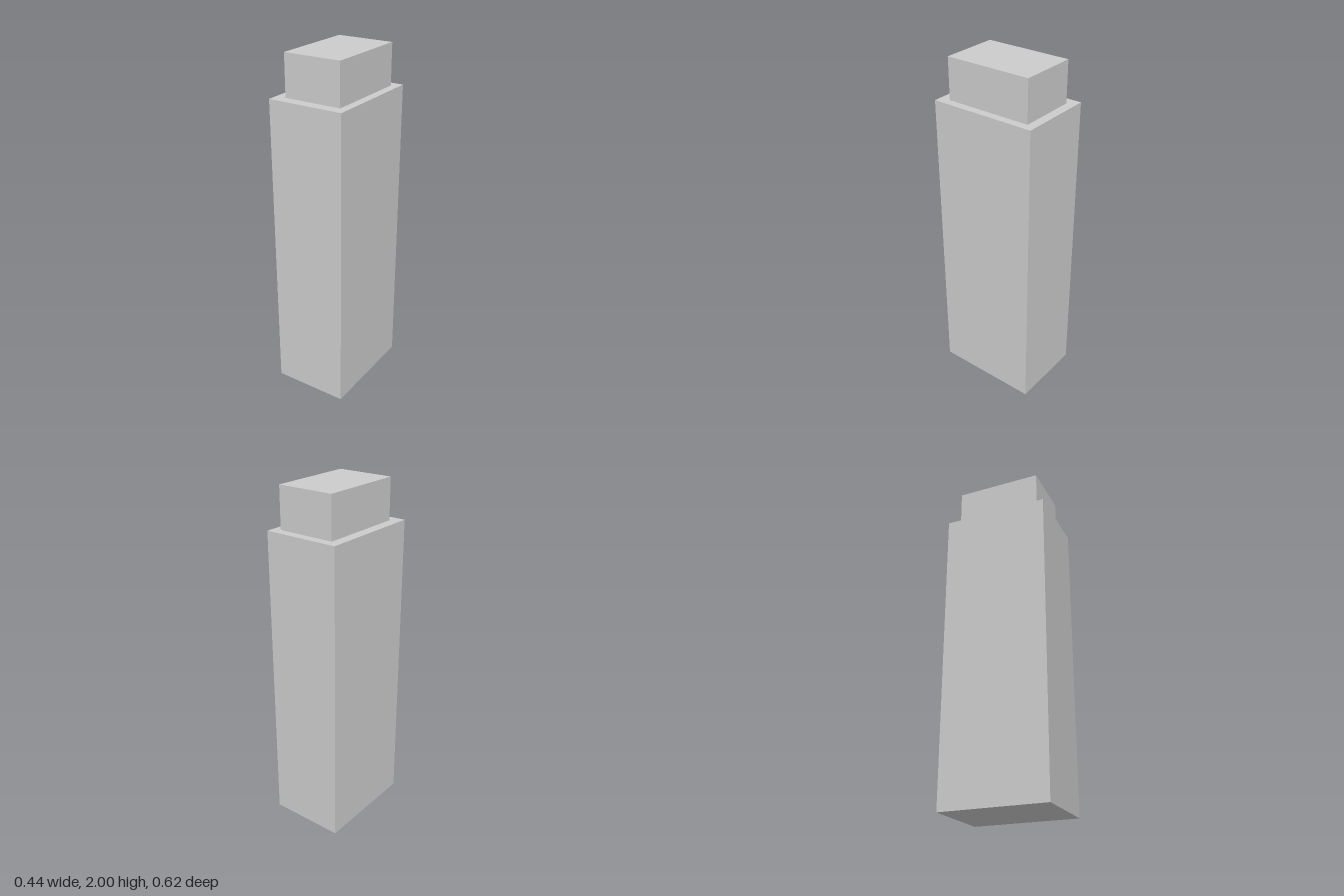
import * as THREE from 'three';

const material = new THREE.MeshStandardMaterial({ color: 0xcccccc, flatShading: true });

// Box given by its lower and upper corners
function block(name, [x0, y0, z0], [x1, y1, z1]) {
  const mesh = new THREE.Mesh(new THREE.BoxGeometry(x1 - x0, y1 - y0, z1 - z0), material);
  mesh.position.set((x0 + x1) / 2, (y0 + y1) / 2, (z0 + z1) / 2);
  mesh.name = name;
  return mesh;
}

export function createModel() {
  const group = new THREE.Group();
  group.name = 'tower';

  // Tall main block
  group.add(block('towerBody', [-0.222, 0, -0.31], [0.222, 1.764, 0.31]));

  // Smaller rooftop block, set slightly off centre
  group.add(block('rooftopBlock', [-0.163, 1.764, -0.258], [0.175, 2, 0.248]));

  return group;
}
